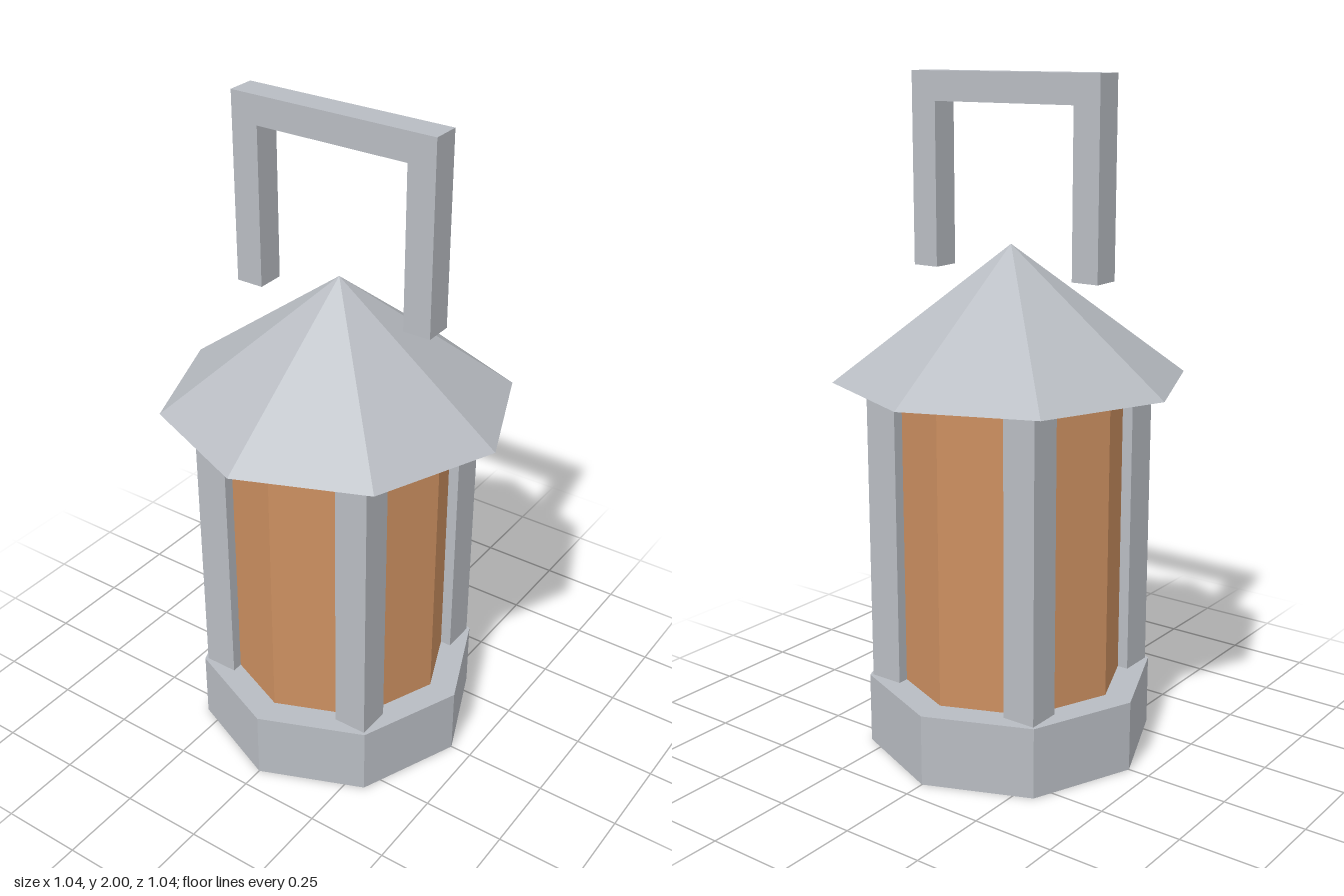
import * as THREE from 'three';

export function createModel() {
  const metal = new THREE.MeshStandardMaterial({ name: 'grey metal', color: 0xb8bcc2 });
  const amber = new THREE.MeshStandardMaterial({ name: 'amber glass', color: 0xcc8f60 });
  metal.flatShading = amber.flatShading = true;

  const lantern = new THREE.Group();
  lantern.name = 'lantern';

  const add = (name, geometry, material, x, y, z) => {
    const mesh = new THREE.Mesh(geometry, material);
    mesh.name = name;
    mesh.position.set(x, y, z);
    lantern.add(mesh);
  };

  // Octagonal body, corners on the x and z axes
  const baseTop = 0.215, eaves = 1.13, apex = 1.52;
  const bodyHeight = eaves - baseTop, bodyMiddle = (eaves + baseTop) / 2;
  add('base', new THREE.CylinderGeometry(0.433, 0.433, baseTop, 8), metal, 0, baseTop / 2, 0);
  add('glass', new THREE.CylinderGeometry(0.346, 0.346, bodyHeight, 8), amber, 0, bodyMiddle, 0);
  add('roof', new THREE.ConeGeometry(0.52, apex - eaves, 8), metal, 0, (apex + eaves) / 2, 0);

  // Four square posts on the diagonal corners
  const postGeometry = new THREE.BoxGeometry(0.104, bodyHeight, 0.104);
  for (const x of [-1, 1]) {
    for (const z of [-1, 1]) {
      add(`${z > 0 ? 'front' : 'back'}${x > 0 ? 'Left' : 'Right'}Post`, postGeometry, metal, x * 0.247, bodyMiddle, z * 0.247);
    }
  }

  // Square-cut carrying handle
  const outer = 0.325, inner = 0.24, foot = 1.437, bar = 1.915, top = 2, depth = 0.086;
  const outline = new THREE.Shape([
    [-outer, foot], [-inner, foot], [-inner, bar], [inner, bar],
    [inner, foot], [outer, foot], [outer, top], [-outer, top],
  ].map(([x, y]) => new THREE.Vector2(x, y)));
  add('handle', new THREE.ExtrudeGeometry(outline, { depth, bevelEnabled: false }), metal, 0, 0, -depth / 2);

  return lantern;
}
